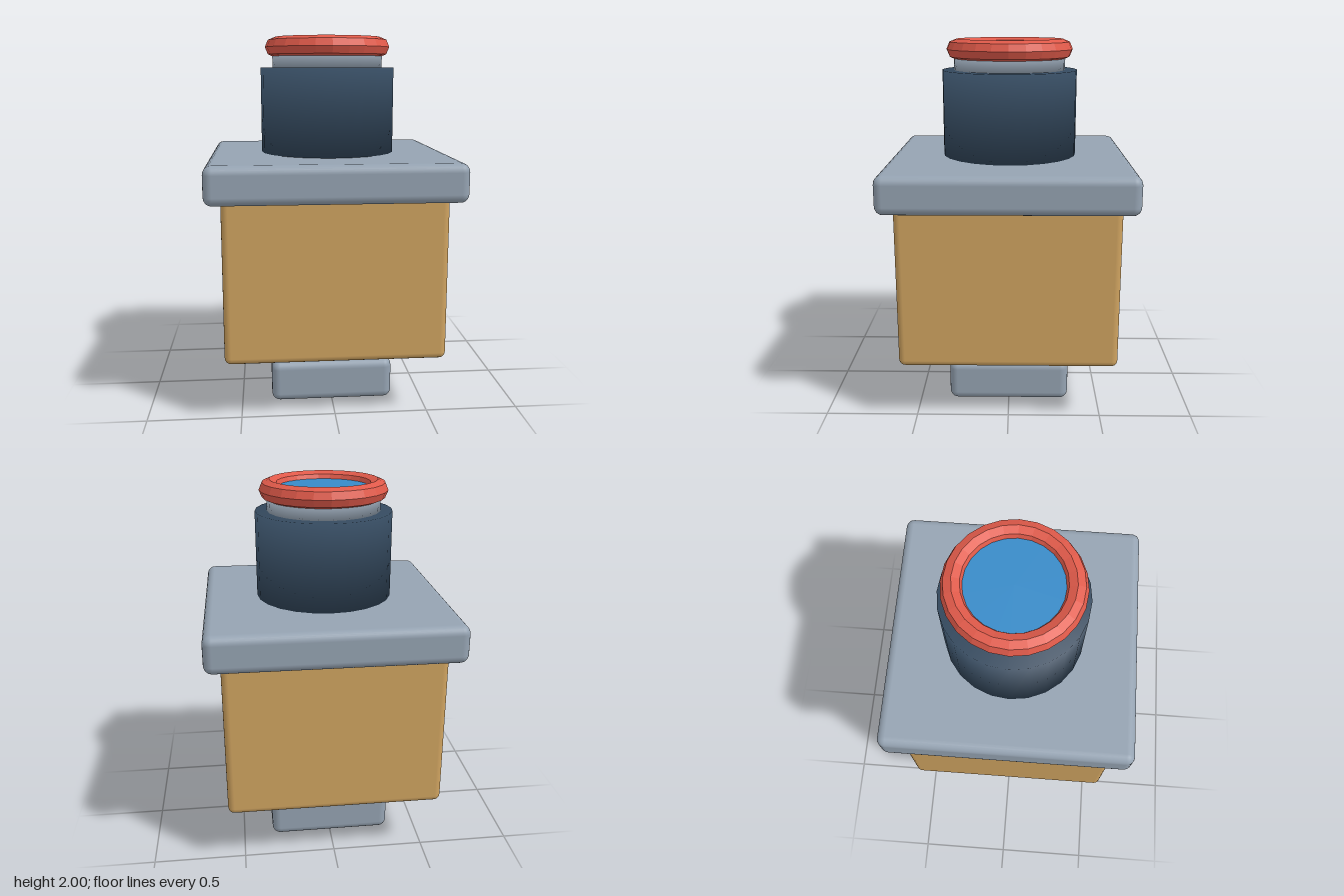
import * as THREE from 'three';
import { RoundedBoxGeometry } from 'three/addons/geometries/RoundedBoxGeometry.js';

const SIDES = 24;

const material = (name, color) => {
  const m = new THREE.MeshStandardMaterial({ color });
  m.name = name;
  return m;
};

export function createModel() {
  const group = new THREE.Group();
  const grey = material('blue grey', 0x95a3b2);
  const tan = material('tan', 0xcfa360);
  const navy = material('dark navy', 0x34495e);
  const red = material('red', 0xe05a4a);
  const blue = material('blue', 0x388bc8);

  const add = (name, geometry, mat, y) => {
    const mesh = new THREE.Mesh(geometry, mat);
    mesh.name = name;
    mesh.position.y = y;
    group.add(mesh);
    return mesh;
  };

  // Square block with soft edges between two heights
  const block = (name, width, y0, y1, radius, mat) =>
    add(name, new RoundedBoxGeometry(width, y1 - y0, width, 3, radius), mat, (y0 + y1) / 2);

  // Drum whose normals blend softly from the wall into the caps
  const drum = (name, radius, y0, y1, mat) => {
    const geometry = new THREE.CylinderGeometry(radius, radius, y1 - y0, SIDES);
    const { position, normal } = geometry.attributes;
    const v = new THREE.Vector3();
    for (let i = 0; i < position.count; i++) {
      v.fromBufferAttribute(position, i);
      const lean = Math.sign(v.y) * 4;
      v.set(v.x / radius, lean, v.z / radius).normalize();
      normal.setXYZ(i, v.x, v.y, v.z);
    }
    return add(name, geometry, mat, (y0 + y1) / 2);
  };

  // Base, neck and body
  block('foot', 0.67, 0, 0.23, 0.045, grey);
  drum('neck', 0.18, 0.2, 0.35, tan);
  block('body', 1.16, 0.325, 1.2, 0.035, tan);
  block('topPlate', 1.32, 1.17, 1.37, 0.045, grey);

  // Barrel and collar
  drum('barrel', 0.37, 1.36, 1.835, navy);
  drum('collar', 0.305, 1.82, 1.92, grey);

  // Faceted ring around the round window
  const ring = new THREE.TorusGeometry(0.29, 0.055, 8, SIDES).rotateX(-Math.PI / 2).toNonIndexed();
  ring.computeVertexNormals();
  add('rimRing', ring, red, 1.945);
  add('lens', new THREE.CylinderGeometry(0.245, 0.245, 0.06, SIDES), blue, 1.93);

  return group;
}
